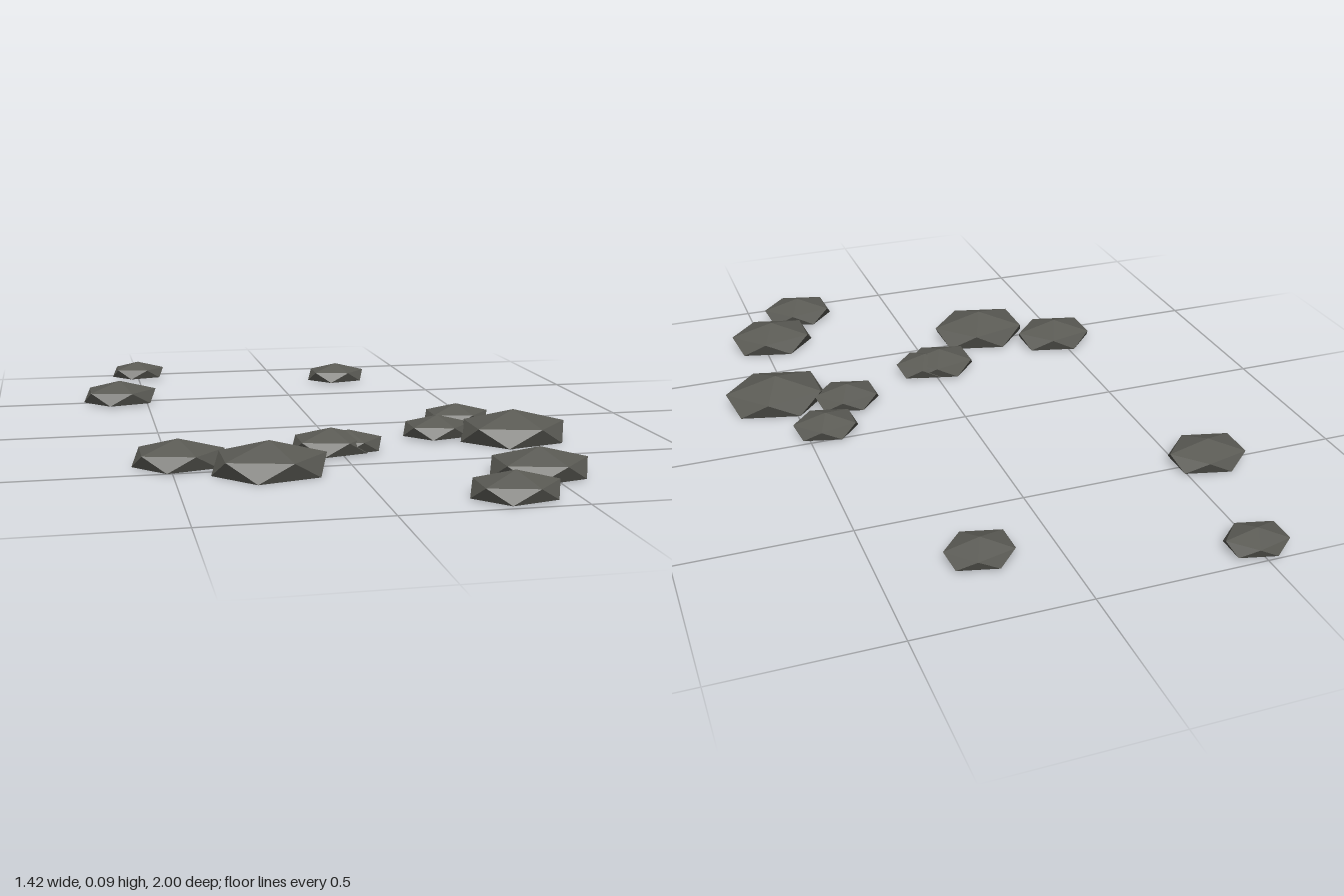
import * as THREE from 'three';

// One unit rock: a five-sided faceted stone with offset rings and a flat base
function makeRockGeometry() {
  const ring = (y, turn) => Array.from({ length: 5 }, (_, i) => {
    const a = (i + turn) * Math.PI * 2 / 5;
    return new THREE.Vector3(Math.cos(a), y, Math.sin(a) * 0.77);
  });
  const peak = new THREE.Vector3(0, 0.46, 0);
  const base = new THREE.Vector3(0, -0.12, 0);
  const upper = ring(0.21, 0);
  const lower = ring(-0.12, 0.5);
  const points = [];
  for (let i = 0; i < 5; i++) {
    const j = (i + 1) % 5;
    points.push(peak, upper[j], upper[i]);
    points.push(upper[i], upper[j], lower[i]);
    points.push(lower[i], upper[j], lower[j]);
    points.push(base, lower[i], lower[j]);
  }
  const geometry = new THREE.BufferGeometry().setFromPoints(points);
  geometry.computeVertexNormals();
  return geometry;
}

export function createModel() {
  const group = new THREE.Group();
  group.name = 'scatteredRocks';
  const stone = new THREE.MeshStandardMaterial({ color: 0x5a5a54 });
  stone.name = 'dark stone';
  const geometry = makeRockGeometry();

  // Each rock: x, z, radius
  const rocks = [
    [-0.50, -0.932, 0.094],
    [0.217, -0.732, 0.103],
    [-0.59, -0.49, 0.122],
    [0.439, 0.055, 0.103],
    [0.33, 0.215, 0.106],
    [0.543, 0.296, 0.162],
    [-0.027, 0.345, 0.118],
    [0.025, 0.343, 0.099],
    [-0.476, 0.419, 0.13],
    [-0.24, 0.544, 0.16],
    [0.468, 0.716, 0.139],
    [0.333, 0.907, 0.12],
  ];
  rocks.forEach(([x, z, radius], i) => {
    const rock = new THREE.Mesh(geometry, stone);
    rock.name = `rock${i + 1}`;
    rock.position.set(x, 0.0195, z);
    rock.scale.setScalar(radius);
    group.add(rock);
  });
  return group;
}
